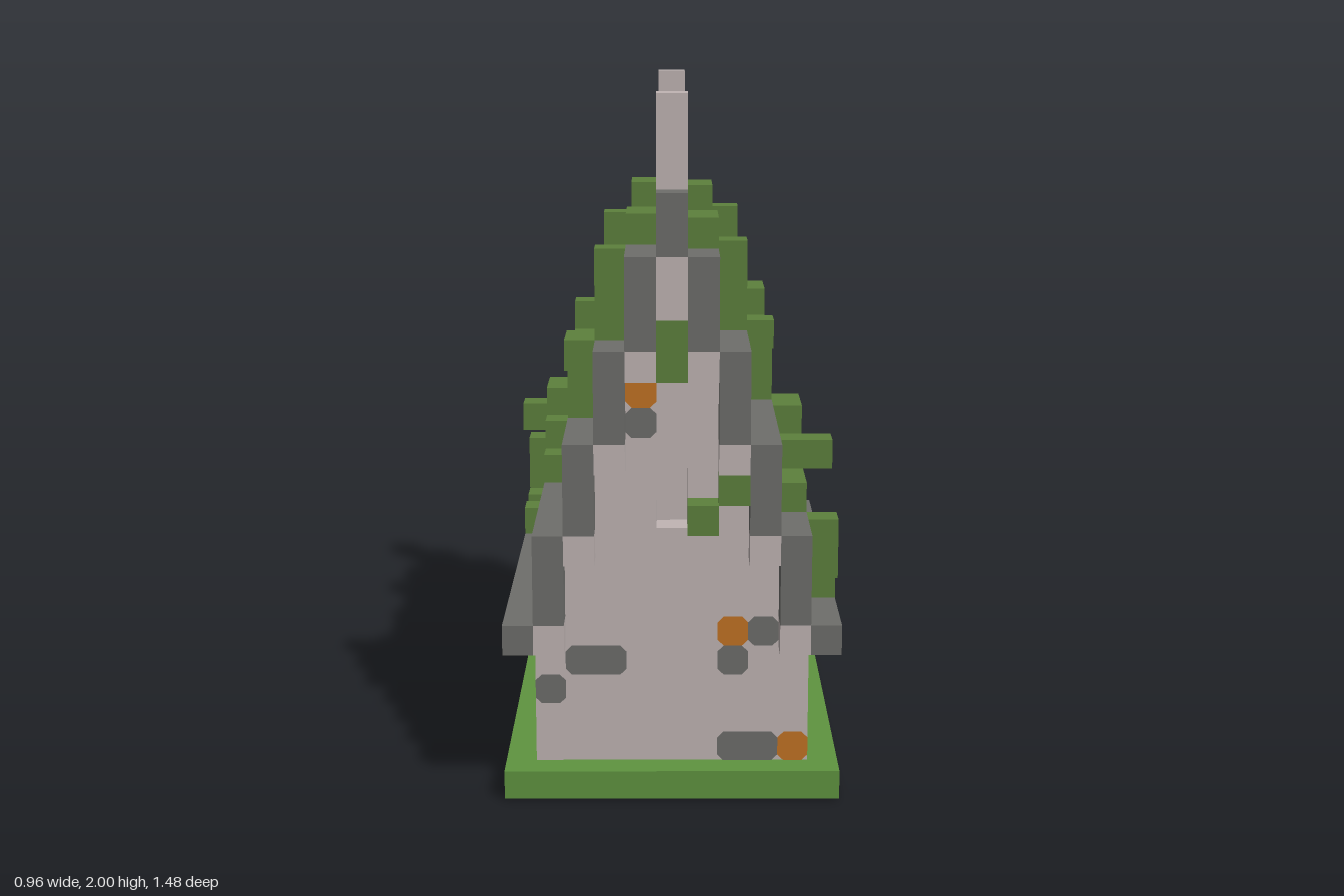
import * as THREE from 'three';

const V = 2 / 23; // block size; all coordinates below are block indices

const mat = (name, color) => {
  const m = new THREE.MeshStandardMaterial({ color });
  m.name = name;
  return m;
};

export function createModel() {
  const plaster = mat('plaster', 0xc0b5b4);
  const slate = mat('slate', 0x6e6e6b);
  const grass = mat('grass', 0x5f9440);
  const moss = mat('moss', 0x5d813d);
  const rust = mat('rust', 0xc27324);
  const soil = mat('soil', 0x70503f);

  const model = new THREE.Group();
  model.name = 'house';

  // Box over inclusive block ranges
  const box = (parent, name, material, x0, x1, y0, y1, z0, z1) => {
    const g = new THREE.BoxGeometry((x1 - x0 + 1) * V, (y1 - y0 + 1) * V, (z1 - z0 + 1) * V);
    const m = new THREE.Mesh(g, material);
    m.position.set((x0 + x1) / 2 * V, (y0 + y1 + 1) / 2 * V, (z0 + z1) / 2 * V);
    m.name = name;
    parent.add(m);
    return m;
  };

  // Base slab with thin underside plates
  const t = 0.004;
  const base = new THREE.Mesh(new THREE.BoxGeometry(11 * V, V - t, 17 * V), grass);
  base.position.y = (V + t) / 2;
  base.name = 'base';
  model.add(base);
  const plate = (name, material, w, d, x, z, y0) => {
    const m = new THREE.Mesh(new THREE.BoxGeometry(w * V, t, d * V), material);
    m.position.set(x * V, y0 + t / 2, z * V);
    m.name = name;
    model.add(m);
  };
  plate('footingUnderside', soil, 9, 14, 0, 0.5, 0.001);
  plate('footingUnderside', soil, 3, 1, -3, -7, 0.001);
  plate('footingUnderside', soil, 3, 1, 3, -7, 0.001);
  plate('floorUnderside', slate, 7, 13, 0, 0, 0);

  // Lower walls with a door recess at the back
  box(model, 'walls', plaster, -4, 4, 1, 5, -6, 7);
  box(model, 'backWall', plaster, -4, -2, 1, 5, -7, -7);
  box(model, 'backWall', plaster, 2, 4, 1, 5, -7, -7);
  box(model, 'doorLintel', plaster, -1, 1, 4, 5, -7, -7);

  // Stepped gable body, with window recesses in the middle step
  box(model, 'gableBody', plaster, -3, 3, 6, 8, -7, 7);
  box(model, 'gableBody', plaster, -2, 2, 9, 11, -6, 6);
  box(model, 'gableBody', plaster, -1, 1, 12, 14, -7, 7);
  box(model, 'gableBody', plaster, 0, 0, 15, 17, -7, 7);

  // Ridge, eaves and chimneys
  box(model, 'ridge', slate, 0, 0, 18, 19, -8, 8);
  for (const s of [-1, 1]) {
    box(model, 'eave', slate, 5 * s, 5 * s, 5, 5, -7, 8);
    box(model, 'chimney', plaster, 0, 0, 20, 22, 7 * s, 7 * s);
  }

  // Wall patch: flat plate with cut corners, in the XY plane
  const patch = (parent, material, u0, u1, y) => {
    const a = (u0 - 0.5) * V, b = (u1 + 0.5) * V, c = y * V, d = (y + 1) * V, k = 0.2 * V;
    const shape = new THREE.Shape([
      [a + k, c], [b - k, c], [b, c + k], [b, d - k],
      [b - k, d], [a + k, d], [a, d - k], [a, c + k],
    ].map(p => new THREE.Vector2(...p)));
    const m = new THREE.Mesh(new THREE.ShapeGeometry(shape), material);
    m.name = 'wallPatch';
    parent.add(m);
  };

  // [first, last, y] along x on the gable, along z on the long side
  const gableSlate = [[-3, -2, 4], [-4, -4, 3], [2, 2, 4], [3, 3, 5], [2, 3, 1], [-1, -1, 12]];
  const gableRust = [[2, 2, 5], [4, 4, 1], [-1, -1, 13]];
  const sideSlate = [[7, 7, 4], [6, 6, 1], [-2, -1, 1], [-6, -6, 1], [-7, -7, 3]];
  const sideRust = [[7, 7, 1], [5, 5, 2], [0, 0, 1], [0, 0, 4], [-1, -1, 3], [-4, -4, 4], [-5, -5, 1], [-6, -6, 3]];

  // Moss blocks: [x, y0, y1, z0, z1]
  const mossBlocks = [
    [1, 18, 18, 5, 6], [1, 18, 18, -5, -4],
    [2, 15, 17, 4, 4], [2, 15, 15, 3, 3], [2, 15, 17, -6, -6],
    [3, 14, 14, 2, 2], [3, 12, 13, 1, 1], [3, 14, 14, -6, -5], [3, 12, 13, -4, -4],
    [4, 11, 11, 1, 2], [4, 10, 10, 3, 3], [4, 10, 10, 0, 0], [4, 9, 9, 4, 5], [4, 9, 9, -1, 0],
    [5, 10, 10, 3, 3], [5, 7, 8, 6, 6], [5, 6, 6, 5, 5], [5, 6, 6, 3, 3],
  ];

  // Each half holds one gable end and one roof slope; the second is turned half round
  for (let h = 0; h < 2; h++) {
    const half = new THREE.Group();
    half.name = h ? 'backHalf' : 'frontHalf';
    half.rotation.y = h * Math.PI;
    model.add(half);

    // Roof steps, and the plaster verge beneath each
    for (let i = 1; i <= 4; i++) {
      const y = 18 - 3 * i;
      box(half, 'roofStep', slate, i, i, y, y + 2, -8, 8);
      for (const s of [-1, 1]) box(half, 'verge', plaster, i * s, i * s, y - 1, y - 1, 8, 8);
    }
    box(half, 'verge', plaster, 0, 0, 16, 17, 8, 8);
    box(half, 'gableMoss', moss, 0, 0, 14, 15, 8, 8);

    // Window surround and the plants beside it
    box(half, 'windowSide', plaster, -2, -1, 9, 11, 7, 7);
    box(half, 'windowSide', plaster, 1, 2, 9, 11, 7, 7);
    box(half, 'windowLintel', plaster, 0, 0, 11, 11, 7, 7);
    box(half, 'windowPlant', moss, 1, 1, 9, 9, 8, 8);
    box(half, 'windowPlant', moss, 2, 2, 10, 10, 8, 8);

    for (const [x, y0, y1, z0, z1] of mossBlocks) box(half, 'roofMoss', moss, x, x, y0, y1, z0, z1);

    // Painted patches
    const gable = new THREE.Group();
    gable.name = 'gablePatches';
    gable.position.z = 7.5 * V + 0.003;
    for (const p of gableSlate) patch(gable, slate, ...p);
    for (const p of gableRust) patch(gable, rust, ...p);
    const side = new THREE.Group();
    side.name = 'sidePatches';
    side.rotation.y = Math.PI / 2;
    side.position.x = 4.5 * V + 0.003;
    for (const [a, b, y] of sideSlate) patch(side, slate, -b, -a, y);
    for (const [a, b, y] of sideRust) patch(side, rust, -b, -a, y);
    half.add(gable, side);
  }
  return model;
}
